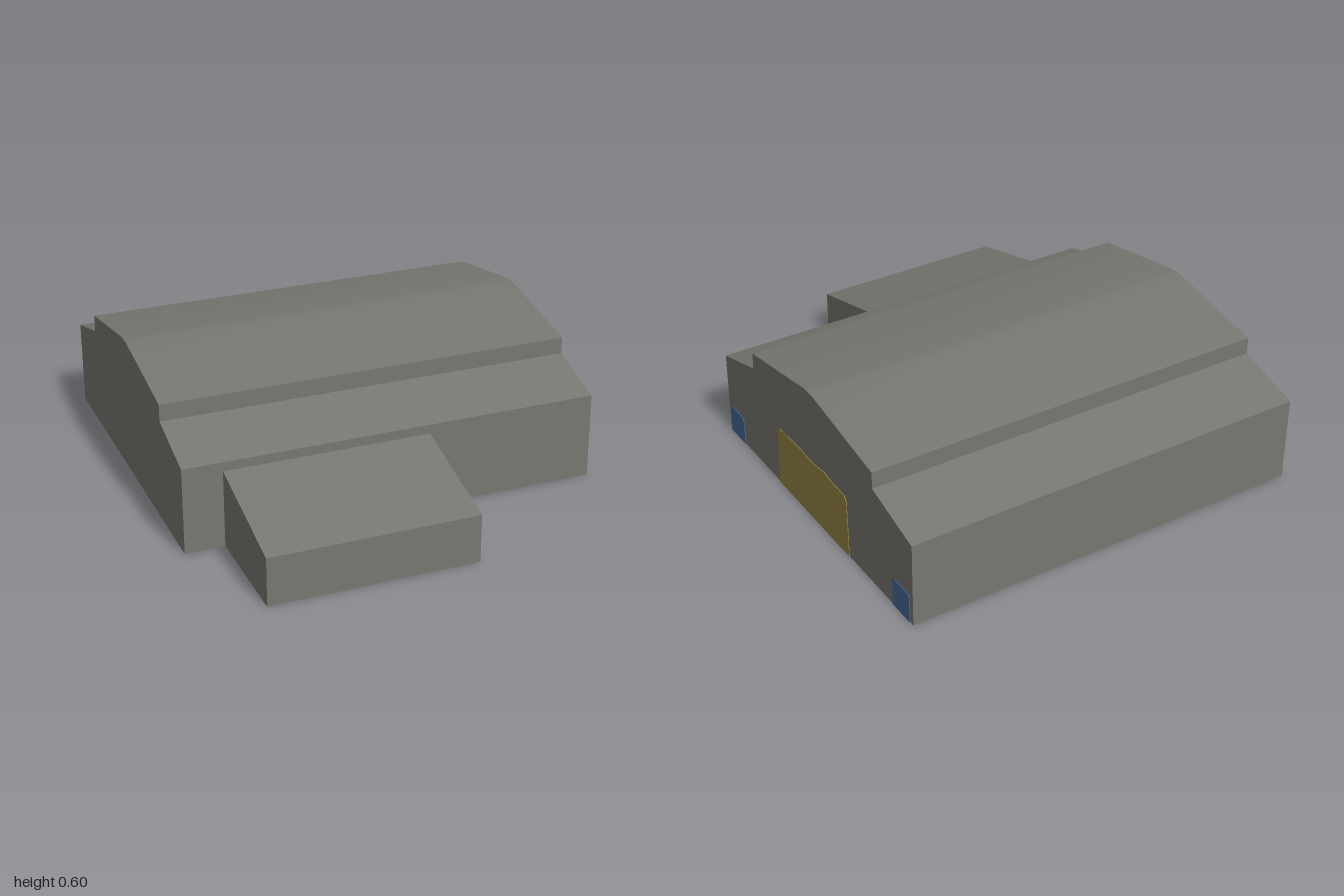
import * as THREE from 'three';
import { toCreasedNormals } from 'three/addons/utils/BufferGeometryUtils.js';

const paint = (name, color) => {
  const m = new THREE.MeshStandardMaterial({ color });
  m.name = name;
  return m;
};

// Extrudes a side profile of [z, y] points along x, from x0 to x1
function extrudeAlongX(name, points, x0, x1, material) {
  const shape = new THREE.Shape(points.map(([z, y]) => new THREE.Vector2(-z, y)));
  const geo = new THREE.ExtrudeGeometry(shape, { depth: x1 - x0, bevelEnabled: false });
  geo.rotateY(Math.PI / 2).translate(x0, 0, 0);
  const mesh = new THREE.Mesh(toCreasedNormals(geo, 0.3), material);
  mesh.name = name;
  return mesh;
}

export function createModel() {
  const group = new THREE.Group();
  group.name = 'hall';
  const grey = paint('grey cladding', 0x787670);
  const yellow = paint('ochre gate', 0x968446);
  const blue = paint('blue door', 0x456a96);
  const W = 0.88;

  // Main hall: low side bays, raised middle roof with a softened ridge
  group.add(extrudeAlongX('mainHall', [
    [0.52, 0], [0.52, 0.365], [0.25, 0.445], [0.25, 0.517], [-0.2, 0.597],
    [-0.27, 0.597], [-0.72, 0.517], [-0.72, 0.445], [-1, 0.365], [-1, 0],
  ], -W, W, grey));

  // Lean-to annex at the front
  group.add(extrudeAlongX('frontAnnex',
    [[1, 0], [1, 0.203], [0.52, 0.326], [0.52, 0]], -0.715, 0.152, grey));

  // Large gate with softened corners and a slightly uneven top
  group.add(extrudeAlongX('mainGate', [
    [0.06, 0], [0.055, 0.25], [0.04, 0.275], [-0.14, 0.282], [-0.23, 0.275],
    [-0.34, 0.289], [-0.4, 0.28], [-0.5, 0.278], [-0.515, 0.255], [-0.52, 0],
  ], W, W + 0.003, yellow));

  // Small doors near both corners
  for (const [name, z] of [['frontDoor', 0.445], ['backDoor', -0.916]]) {
    group.add(extrudeAlongX(name, [
      [z + 0.062, 0], [z + 0.06, 0.115], [z + 0.045, 0.128],
      [z - 0.05, 0.126], [z - 0.061, 0.112], [z - 0.062, 0],
    ], W, W + 0.003, blue));
  }
  return group;
}
